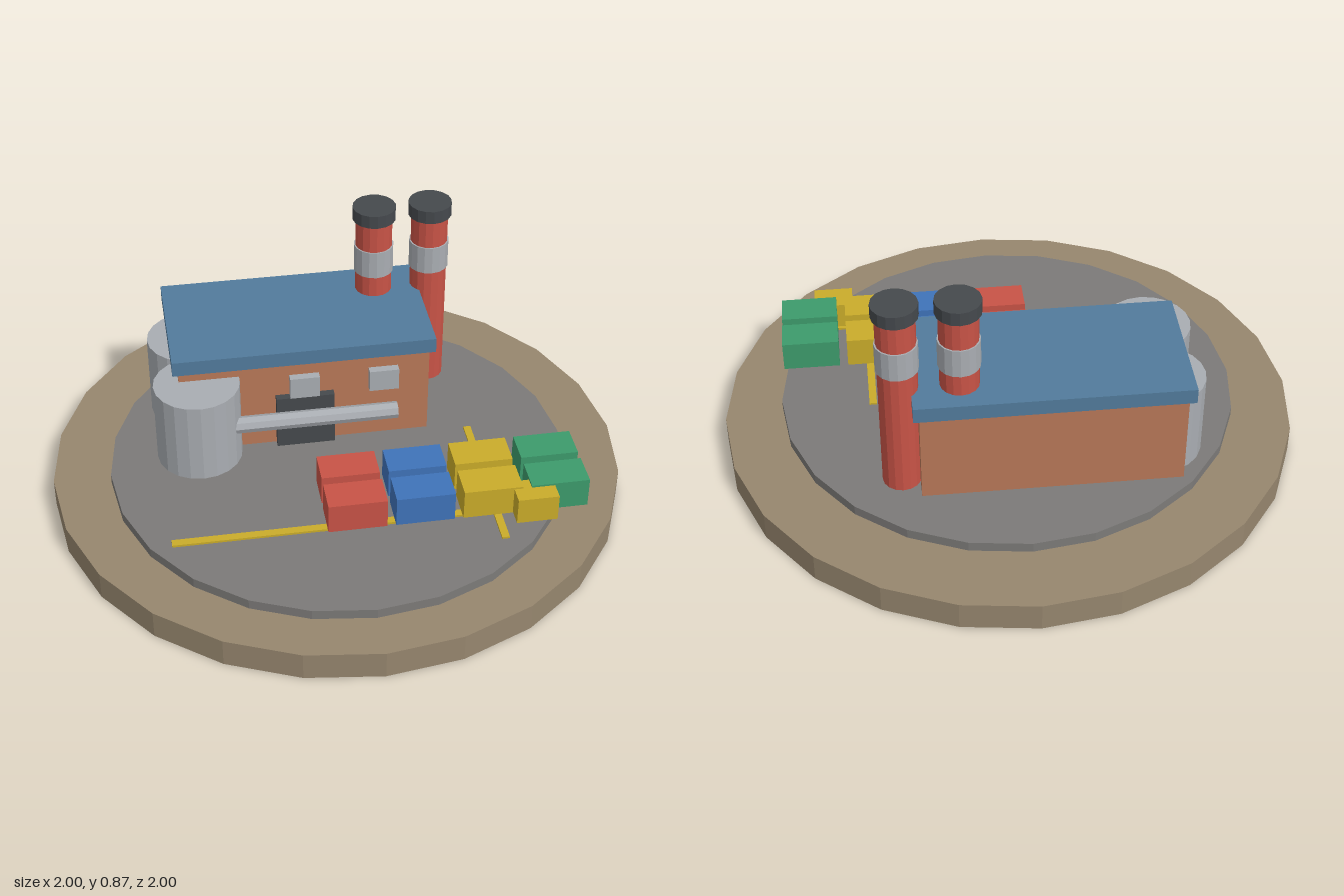
import * as THREE from 'three';

const COLORS = {
  earth: 0x96866e, paving: 0x7c7a78, brick: 0xb87858, roofBlue: 0x527b9c, red: 0xc85346,
  lightMetal: 0xa9adb2, darkMetal: 0x45494d, blue: 0x3f73b9, yellow: 0xcaac2a, green: 0x3d9b6c,
};

export function createModel() {
  const root = new THREE.Group();
  root.name = 'factoryIsland';

  const mats = {};
  for (const [name, color] of Object.entries(COLORS)) {
    mats[name] = new THREE.MeshStandardMaterial({ color, flatShading: true });
    mats[name].name = name;
  }

  const add = (name, geometry, mat, parent) => {
    const mesh = new THREE.Mesh(geometry, mats[mat]);
    mesh.name = name;
    parent.add(mesh);
    return mesh;
  };
  // Box given by its minimum and maximum corners
  const box = (name, mat, [x0, y0, z0], [x1, y1, z1], parent = root) => {
    const mesh = add(name, new THREE.BoxGeometry(x1 - x0, y1 - y0, z1 - z0), mat, parent);
    mesh.position.set((x0 + x1) / 2, (y0 + y1) / 2, (z0 + z1) / 2);
    return mesh;
  };
  // Upright cylinder between two heights
  const drum = (name, mat, r, y0, y1, x, z, sides, parent = root) => {
    const mesh = add(name, new THREE.CylinderGeometry(r, r, y1 - y0, sides), mat, parent);
    mesh.position.set(x, (y0 + y1) / 2, z);
    return mesh;
  };
  const group = (name) => {
    const g = new THREE.Group();
    g.name = name;
    root.add(g);
    return g;
  };

  // Ground
  const floor = 0.135;
  drum('groundDisc', 'earth', 1, 0, 0.1, 0, 0, 24);
  drum('pavedYard', 'paving', 0.8, 0.09, floor, 0, 0.04, 24);

  // Factory hall
  const hall = group('factoryHall');
  box('walls', 'brick', [-0.54, 0.12, -0.5], [0.34, 0.48, -0.055], hall);
  box('roof', 'roofBlue', [-0.56, 0.475, -0.52], [0.36, 0.53, -0.04], hall);
  box('door', 'darkMetal', [-0.205, floor, -0.06], [0, 0.342, -0.028], hall);
  for (const x of [-0.104, 0.176]) {
    box('window', 'lightMetal', [x - 0.052, 0.342, -0.06], [x + 0.052, 0.424, -0.026], hall);
  }

  // Chimneys with a pale band and a dark cap
  for (const x of [0.2, 0.4]) {
    const chimney = group('chimney');
    drum('stack', 'red', 0.066, 0.12, 0.83, x, -0.4, 16, chimney);
    drum('band', 'lightMetal', 0.071, 0.61, 0.714, x, -0.4, 16, chimney);
    drum('cap', 'darkMetal', 0.077, 0.82, 0.868, x, -0.4, 16, chimney);
  }

  // Storage tanks and the pipe leaving the front one
  for (const z of [-0.32, -0.04]) drum('tank', 'lightMetal', 0.15, 0.12, 0.438, -0.48, z, 20);
  const pipe = add('pipe', new THREE.CylinderGeometry(0.03, 0.03, 0.6, 8), 'lightMetal', root);
  pipe.rotation.z = Math.PI / 2;
  pipe.position.set(-0.085, 0.284, 0.018);

  // Two rows of shipping containers
  ['red', 'blue', 'yellow', 'green'].forEach((mat, i) => {
    const x = -0.1 + i * 0.23;
    for (const z of [0.2, 0.35]) {
      box('container', mat, [x, 0.148, z], [x + 0.2, 0.257, z + 0.117]);
    }
  });

  // Loading vehicle and yard markings
  box('loader', 'yellow', [0.53, 0.152, 0.425], [0.67, 0.25, 0.526]);
  box('longMarking', 'yellow', [-0.62, 0.138, 0.421], [0.62, 0.146, 0.449]);
  box('crossMarking', 'yellow', [0.467, 0.138, -0.02], [0.493, 0.145, 0.58]);

  return root;
}
